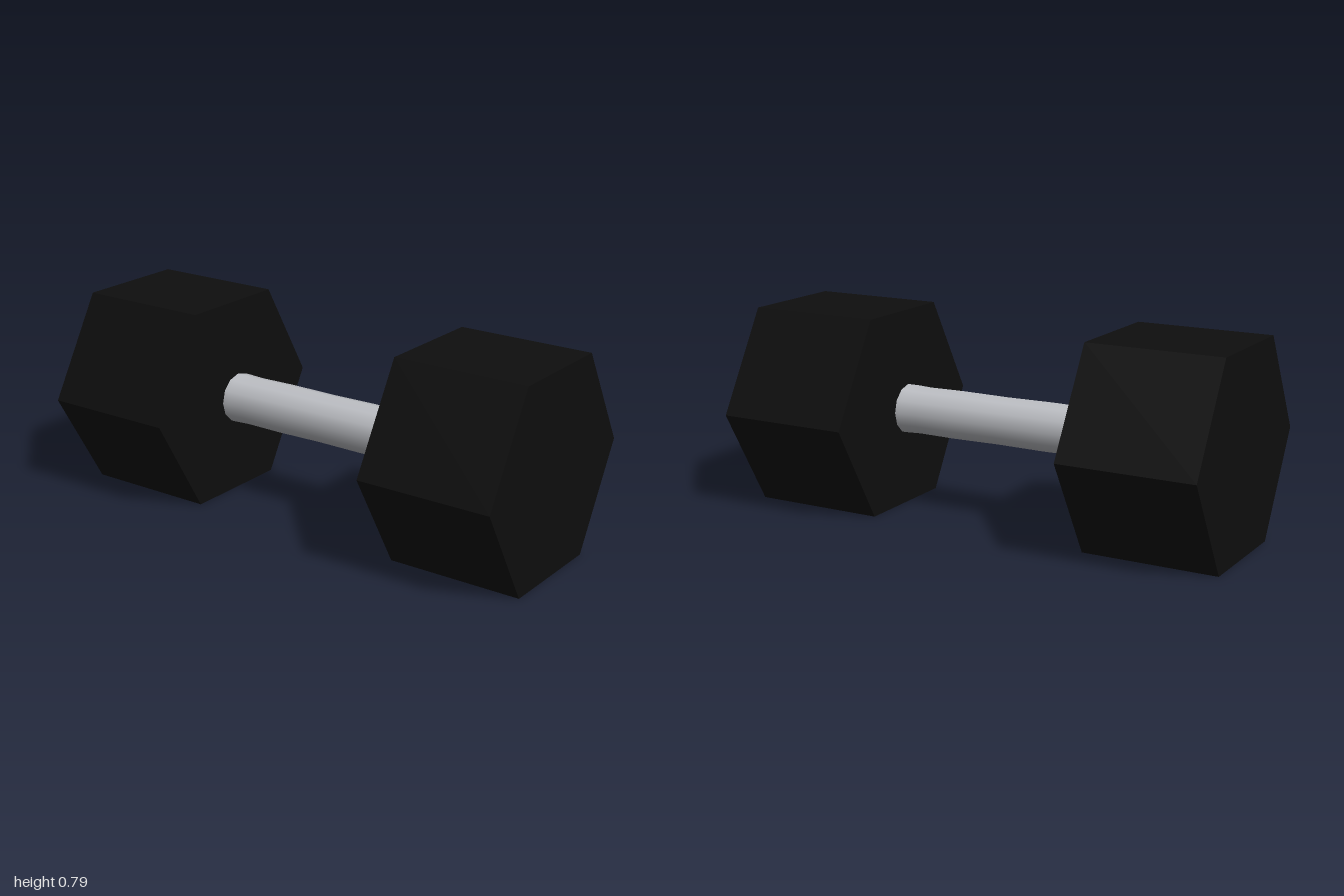
import * as THREE from 'three';

export function createModel() {
  const model = new THREE.Group();
  model.name = 'dumbbell';

  const rubber = new THREE.MeshStandardMaterial({ color: 0x0e0e0e });
  rubber.name = 'black rubber';
  const steel = new THREE.MeshStandardMaterial({ color: 0xbec0c5 });
  steel.name = 'brushed steel';

  const axisY = 0.396;

  // Hexagonal heads: a corner points to front and back, flats lie top and bottom
  const headGeometry = new THREE.CylinderGeometry(0.455, 0.455, 0.54, 6).toNonIndexed();
  headGeometry.rotateZ(Math.PI / 2);
  headGeometry.computeVertexNormals();
  for (const side of [1, -1]) {
    const head = new THREE.Mesh(headGeometry, rubber);
    head.name = side > 0 ? 'leftHead' : 'rightHead';
    head.position.set(side * 0.724, axisY, 0);
    head.rotation.y = -0.01; // heads sit very slightly askew
    model.add(head);
  }

  // Handle: smooth grip, a touch wider at its ends
  const grip = [
    [0.099, -0.437], [0.099, -0.415], [0.096, -0.35], [0.098, -0.2], [0.096, 0],
    [0.098, 0.2], [0.096, 0.35], [0.099, 0.415], [0.099, 0.437],
  ].map(([r, y]) => new THREE.Vector2(r, y));
  const handle = new THREE.Mesh(new THREE.LatheGeometry(grip, 12).rotateZ(Math.PI / 2), steel);
  handle.name = 'handle';
  handle.position.y = axisY;
  model.add(handle);

  // Flat discs closing the handle
  for (const side of [1, -1]) {
    const cap = new THREE.Mesh(new THREE.CircleGeometry(0.099, 12).rotateY(side * Math.PI / 2), steel);
    cap.name = side > 0 ? 'leftHandleEnd' : 'rightHandleEnd';
    cap.position.set(side * 0.437, axisY, 0);
    model.add(cap);
  }

  return model;
}
